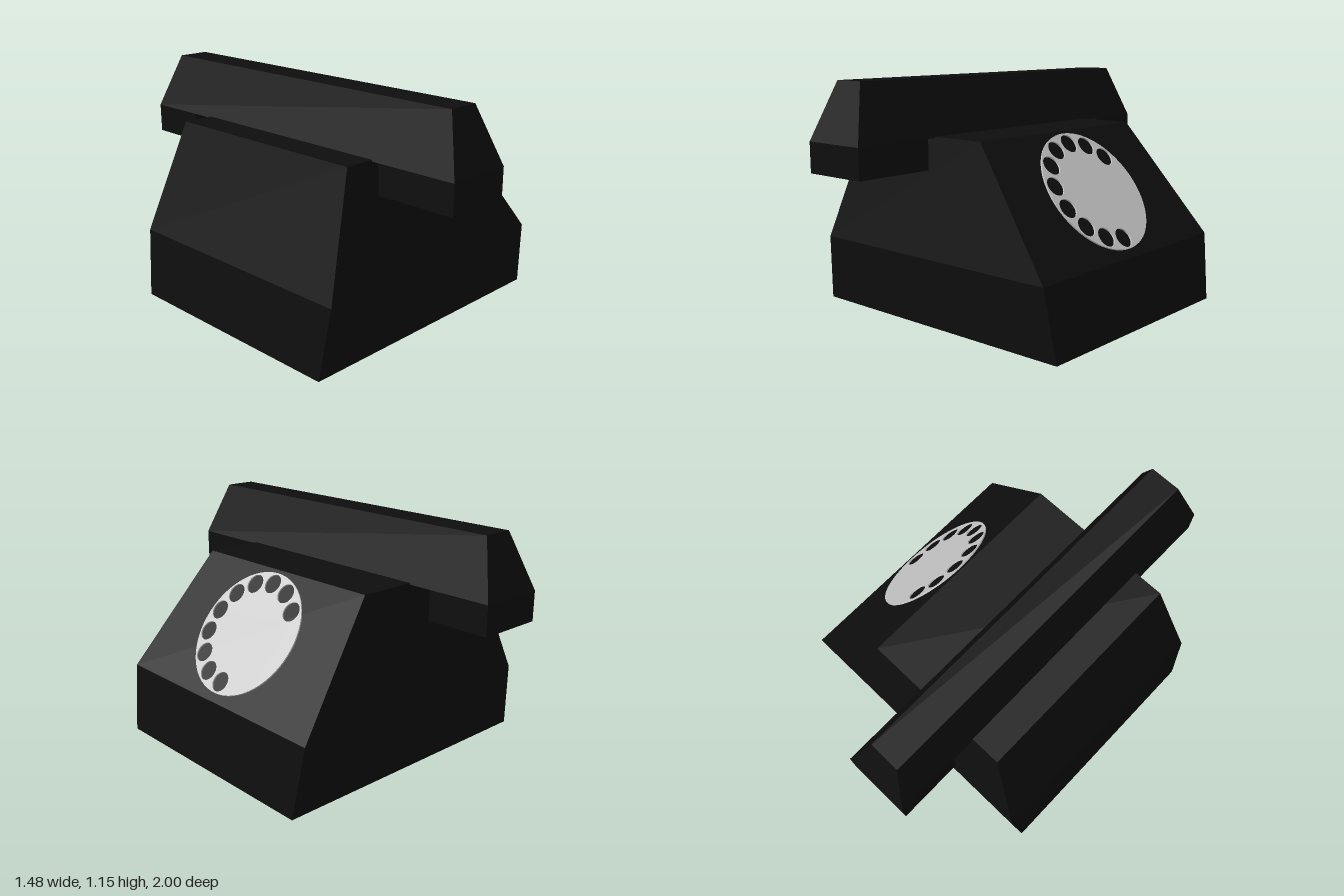
import * as THREE from 'three';

const black = new THREE.MeshStandardMaterial({ color: 0x0e0e0e });
black.name = 'black';
const silver = new THREE.MeshStandardMaterial({ color: 0xcccccc });
silver.name = 'silver';

// Stacks rectangular sections [y, x0, x1, z0, z1] into a closed faceted solid.
function loft(sections) {
  const rings = sections.map(([y, x0, x1, z0, z1]) => [[x0, y, z1], [x1, y, z1], [x1, y, z0], [x0, y, z0]]);
  const pos = [];
  const quad = (a, b, c, d) => pos.push(...a, ...b, ...c, ...a, ...c, ...d);
  for (let i = 0; i < rings.length - 1; i++) {
    const lo = rings[i], hi = rings[i + 1];
    for (let k = 0; k < 4; k++) {
      const n = (k + 1) % 4;
      quad(lo[k], lo[n], hi[n], hi[k]);
    }
  }
  const bottom = rings[0], top = rings[rings.length - 1];
  quad(top[0], top[1], top[2], top[3]);
  quad(bottom[3], bottom[2], bottom[1], bottom[0]);
  const geo = new THREE.BufferGeometry();
  geo.setAttribute('position', new THREE.Float32BufferAttribute(pos, 3));
  geo.computeVertexNormals();
  return geo;
}

function part(name, geometry, material) {
  const mesh = new THREE.Mesh(geometry, material);
  mesh.name = name;
  return mesh;
}

export function createModel() {
  const model = new THREE.Group();
  model.name = 'telephone';

  // Housing: flared base, then a sloped upper part
  model.add(part('housing', loft([
    [0, -0.742, 0.742, -0.62, 0.62],
    [0.335, -0.7, 0.697, -0.655, 0.655],
    [0.885, -0.51, 0.262, -0.56, 0.56],
  ]), black));

  // Handset: tapered bar with an earpiece and a mouthpiece below its ends
  const handset = new THREE.Group();
  handset.name = 'handset';
  handset.add(part('handle', loft([
    [0.878, -0.36, -0.024, -1, 1],
    [1.147, -0.27, -0.115, -0.905, 0.905],
  ]), black));
  handset.add(part('earpiece', loft([
    [0.735, -0.36, -0.024, -1, -0.68],
    [0.878, -0.36, -0.024, -1, -0.68],
  ]), black));
  handset.add(part('mouthpiece', loft([
    [0.735, -0.36, -0.024, 0.6, 1],
    [0.878, -0.36, -0.024, 0.6, 1],
  ]), black));
  model.add(handset);

  // Dial: thin disc with ten finger holes, lying on the sloped face
  const disc = new THREE.Shape().absarc(0, 0, 0.32, 0, Math.PI * 2, false);
  for (let i = 0; i < 10; i++) {
    const a = THREE.MathUtils.degToRad(-52 + i * 25.8);
    const hole = new THREE.Path();
    hole.absarc(-Math.sin(a) * 0.262, Math.cos(a) * 0.262, 0.049, 0, Math.PI * 2, true);
    disc.holes.push(hole);
  }
  const dial = part('dial', new THREE.ExtrudeGeometry(disc, {
    depth: 0.007, bevelEnabled: false, curveSegments: 32,
  }), silver);
  const up = new THREE.Vector3(0.262 - 0.697, 0.885 - 0.335, 0).normalize();
  const normal = new THREE.Vector3(up.y, -up.x, 0);
  dial.quaternion.setFromRotationMatrix(
    new THREE.Matrix4().makeBasis(new THREE.Vector3(0, 0, -1), up, normal));
  dial.position.set(0.4725, 0.619, 0.004).addScaledVector(normal, 0.001);
  model.add(dial);

  return model;
}
